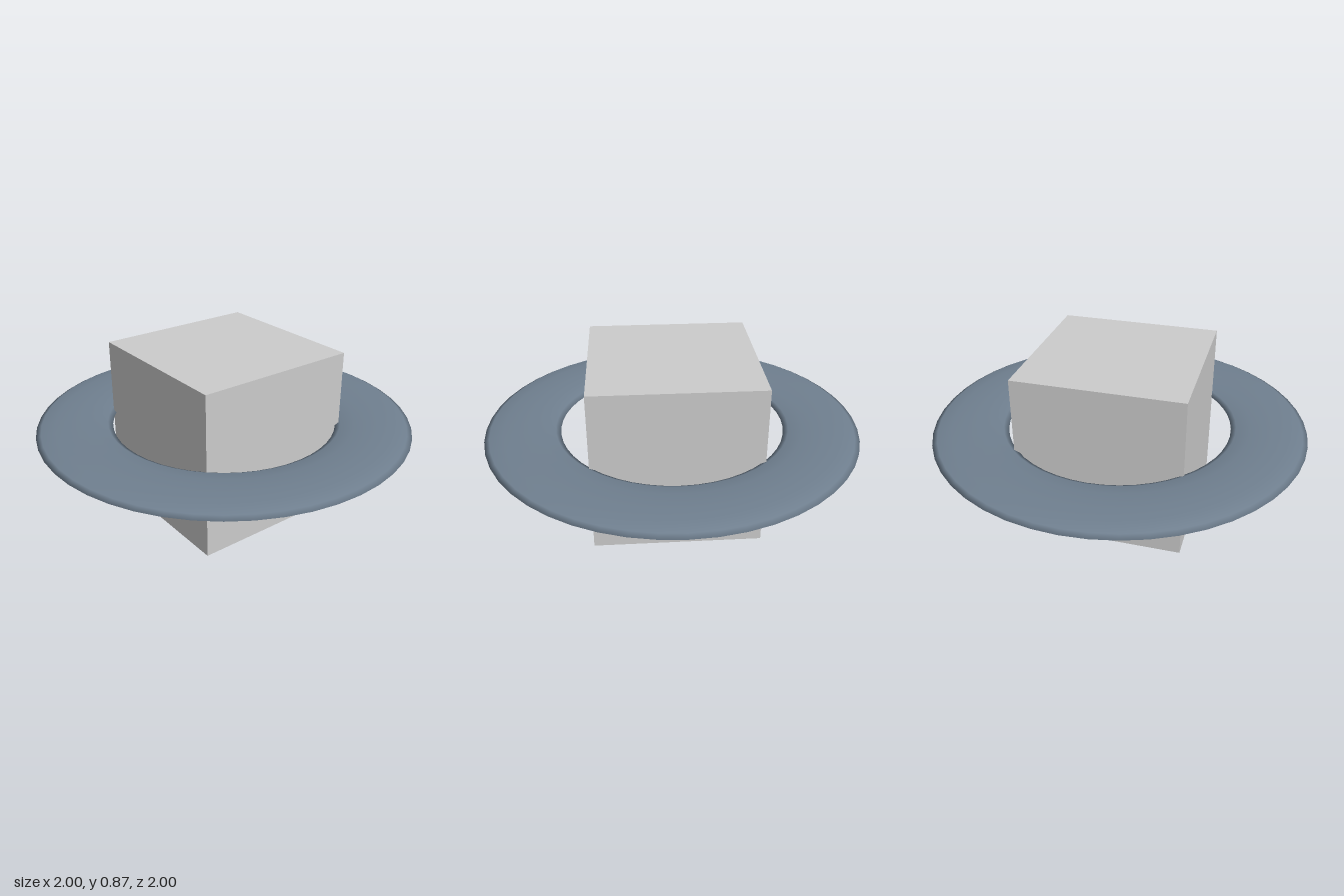
import * as THREE from 'three';

export function createModel() {
  const model = new THREE.Group();
  const lightGrey = new THREE.MeshStandardMaterial({ name: 'lightGrey', color: 0xcccccc });
  const slateBlue = new THREE.MeshStandardMaterial({ name: 'slateBlue', color: 0x708090 });

  // Central cube standing on the ground
  const side = 0.874;
  const cube = new THREE.Mesh(new THREE.BoxGeometry(side, side, side), lightGrey);
  cube.name = 'cube';
  cube.position.y = side / 2;
  model.add(cube);

  // Flattened ring, just cutting the vertical edges of the cube
  const ringShape = new THREE.TorusGeometry(0.8, 0.2, 12, 48);
  ringShape.rotateX(-Math.PI / 2);
  ringShape.scale(1, 0.14, 1);
  const ring = new THREE.Mesh(ringShape, slateBlue);
  ring.name = 'ring';
  ring.position.y = 0.47;
  model.add(ring);

  return model;
}
